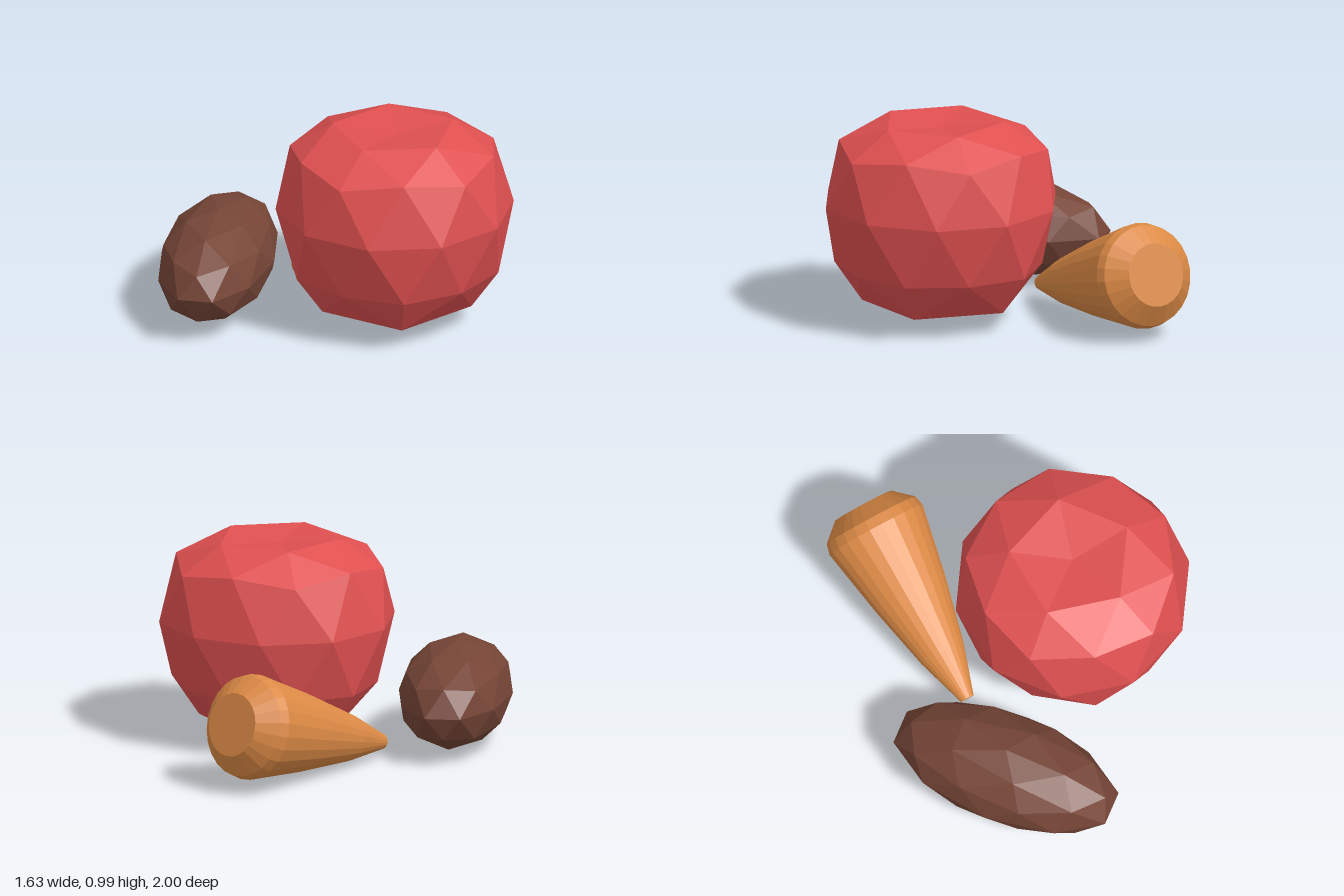
import * as THREE from 'three';

const material = (color) =>
  new THREE.MeshStandardMaterial({ color, flatShading: true, side: THREE.FrontSide });

// Faceted ball built from rings. Each ring is { y, r }.
// Upper and lower rings alternate between corner and midpoint heights.
function facetedBall({ top, cap, upper, upperMid, equator, lower, lowerMid, base, bottom }) {
  const pos = [];
  const add = ({ y, r }, degrees) => {
    const a = THREE.MathUtils.degToRad(degrees);
    pos.push(r * Math.cos(a), y, r * Math.sin(a));
    return pos.length / 3 - 1;
  };
  const ring = (n, start, pick) =>
    Array.from({ length: n }, (_, i) => add(pick(i), start + (i * 360) / n));

  const T = add({ y: top, r: 0 }, 0);
  const A = ring(5, 0, () => cap);
  const B = ring(10, 0, (i) => (i % 2 ? upperMid : upper));
  const C = ring(10, 18, () => equator);
  const D = ring(10, 0, (i) => (i % 2 ? lower : lowerMid));
  const E = ring(5, 36, () => base);
  const P = add({ y: bottom, r: 0 }, 0);

  const index = [];
  for (let i = 0; i < 5; i++) {
    const n = (i + 1) % 5, j = 2 * i, k = (j + 2) % 10;
    index.push(T, A[n], A[i], A[i], A[n], B[j + 1]);
    index.push(A[i], B[j + 1], B[j], A[i], B[j], B[(j + 9) % 10]);
    index.push(D[j], D[j + 1], E[i], D[j + 1], D[k], E[i]);
    index.push(E[i], D[k], E[n], E[i], E[n], P);
  }
  for (let j = 0; j < 10; j++) {
    const n = (j + 1) % 10, p = (j + 9) % 10;
    index.push(B[j], B[n], C[j], B[j], C[j], C[p]);
    index.push(C[p], C[j], D[j], D[j], C[j], D[n]);
  }
  const geometry = new THREE.BufferGeometry();
  geometry.setAttribute('position', new THREE.Float32BufferAttribute(pos, 3));
  geometry.setIndex(index);
  const flat = geometry.toNonIndexed();
  flat.computeVertexNormals();
  return flat;
}

export function createModel() {
  const model = new THREE.Group();
  const addPart = (name, geometry, color) => {
    const mesh = new THREE.Mesh(geometry, material(color));
    mesh.name = name;
    model.add(mesh);
    return mesh;
  };

  // Tomato: round body with a flattened top and a wide, shallow base
  const tomato = addPart('tomato', facetedBall({
    top: 0.96,
    cap: { y: 0.99, r: 0.305 },
    upper: { y: 0.855, r: 0.515 },
    upperMid: { y: 0.895, r: 0.488 },
    equator: { y: 0.595, r: 0.573 },
    lower: { y: 0.29, r: 0.51 },
    lowerMid: { y: 0.29, r: 0.487 },
    base: { y: 0.1, r: 0.377 },
    bottom: 0.055,
  }), 0xe05050);
  tomato.position.set(0.265, 0, -0.02);

  // Potato: unit ball stretched along one axis and turned
  const potato = addPart('potato', facetedBall({
    top: 1,
    cap: { y: 0.851, r: 0.526 },
    upper: { y: 0.447, r: 0.894 },
    upperMid: { y: 0.526, r: 0.851 },
    equator: { y: 0, r: 1 },
    lower: { y: -0.447, r: 0.894 },
    lowerMid: { y: -0.526, r: 0.851 },
    base: { y: -0.851, r: 0.526 },
    bottom: -1,
  }), 0x754536);
  potato.scale.set(0.576, 0.249, 0.275);
  potato.rotation.y = -0.922;
  potato.position.set(-0.417, 0.25, 0.508);

  // Carrot: turned profile from the blunt crown to the tip, lying on its side
  const crown = new THREE.Vector3(-0.345, 0.345, -0.96);
  const tip = new THREE.Vector3(-0.365, 0.075, 0.055);
  const axis = tip.clone().sub(crown);
  const length = axis.length();
  const profile = [
    [0, 0], [0.153, 0], [0.243, 0.08], [0.255, 0.13],
    [0.19, 0.475], [0.115, 0.8], [0.035, length], [0, length],
  ].map(([r, y]) => new THREE.Vector2(r, y));
  const carrot = addPart('carrot', new THREE.LatheGeometry(profile, 24), 0xdc8a45);
  carrot.position.copy(crown);
  carrot.quaternion.setFromUnitVectors(new THREE.Vector3(0, 1, 0), axis.normalize());

  return model;
}
